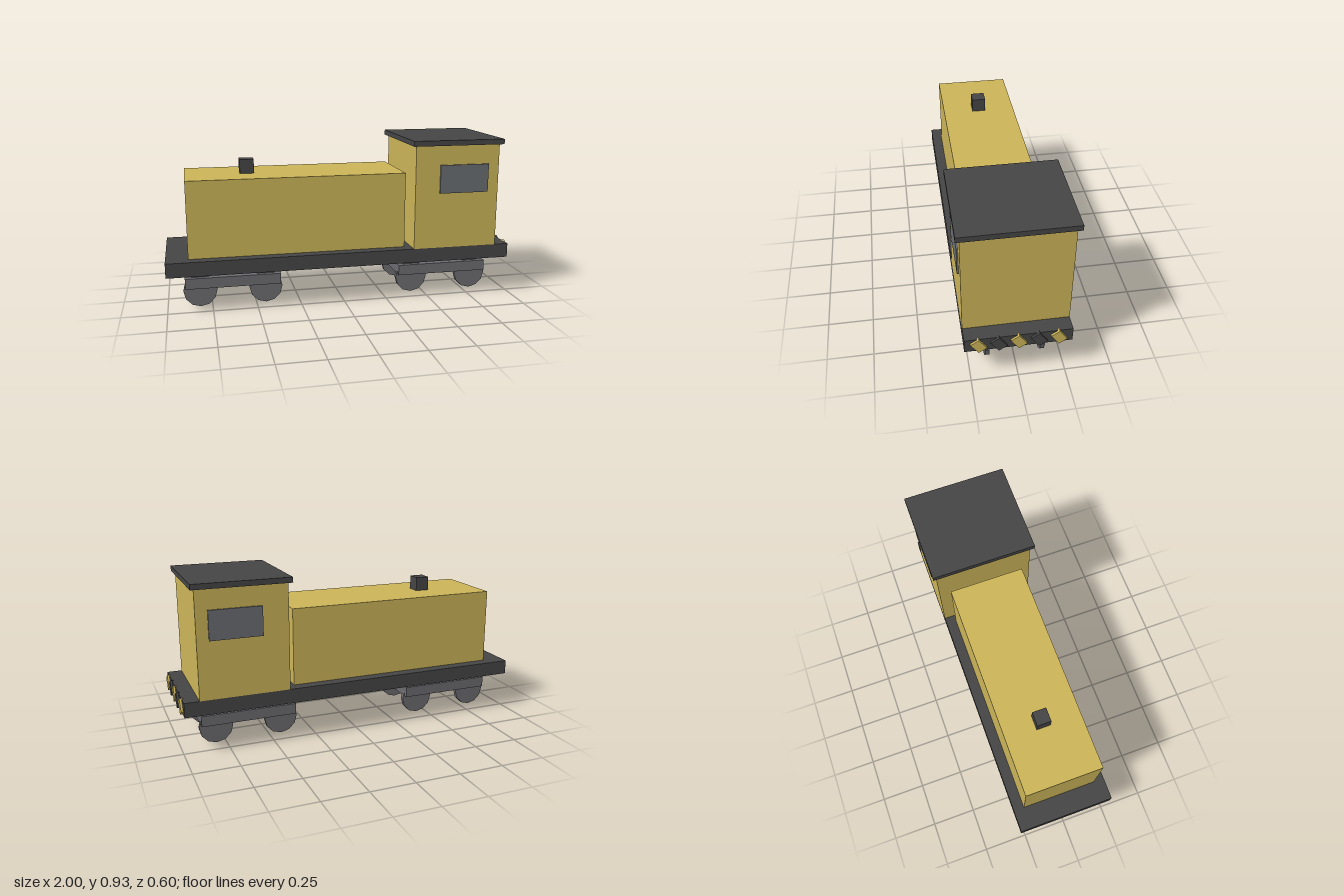
import * as THREE from 'three';

const material = (name, color, flatShading = false) => {
  const m = new THREE.MeshStandardMaterial({ color, flatShading });
  m.name = name;
  return m;
};

export function createModel() {
  const yellow = material('yellow paint', 0xcab358);
  const dark = material('dark grey paint', 0x454545);
  const steel = material('steel grey', 0x6b6b70, true);
  const glass = material('window grey', 0x696d71);

  const model = new THREE.Group();
  model.name = 'locomotive';

  // Box given by its limits along each axis
  const box = (name, mat, [x0, x1], [y0, y1], [z0, z1], parent = model) => {
    const mesh = new THREE.Mesh(new THREE.BoxGeometry(x1 - x0, y1 - y0, z1 - z0), mat);
    mesh.position.set((x0 + x1) / 2, (y0 + y1) / 2, (z0 + z1) / 2);
    mesh.name = name;
    parent.add(mesh);
    return mesh;
  };

  // Body
  box('deck', dark, [-1, 0.988], [0.216, 0.298], [-0.28, 0.28]);
  box('hood', yellow, [-0.876, 0.365], [0.298, 0.735], [-0.218, 0.218]);
  box('exhaust', dark, [-0.565, -0.485], [0.735, 0.815], [-0.04, 0.04]);
  box('cab', yellow, [0.405, 0.905], [0.298, 0.896], [-0.28, 0.28]);
  box('cabRoof', dark, [0.385, 0.925], [0.896, 0.926], [-0.3, 0.3]);

  // Side windows
  box('leftWindow', glass, [0.55, 0.84], [0.621, 0.784], [0.28, 0.2895]);
  box('rightWindow', glass, [0.55, 0.84], [0.621, 0.784], [-0.2895, -0.28]);

  // Slanted warning blocks along the end of the deck
  for (let i = -2; i <= 2; i++) {
    const block = box('warningBlock', i % 2 ? dark : yellow,
      [0.98, 1], [0.2195, 0.2945], [i * 0.1035 - 0.0265, i * 0.1035 + 0.0265]);
    block.rotation.x = 0.6;
  }

  // Two bogies, each with a frame and four wheels
  const wheelGeometry = new THREE.CylinderGeometry(0.095, 0.095, 0.024, 12).rotateX(Math.PI / 2);
  for (const x of [-0.63, 0.615]) {
    const bogie = new THREE.Group();
    bogie.name = 'bogie';
    bogie.position.x = x;
    box('bogieFrame', steel, [-0.27, 0.27], [0.113, 0.174], [-0.187, 0.187], bogie);
    for (const dx of [-0.186, 0.186]) {
      for (const z of [-0.149, 0.149]) {
        const wheel = new THREE.Mesh(wheelGeometry, steel);
        wheel.position.set(dx, 0.095, z);
        wheel.name = 'wheel';
        bogie.add(wheel);
      }
    }
    model.add(bogie);
  }
  return model;
}
